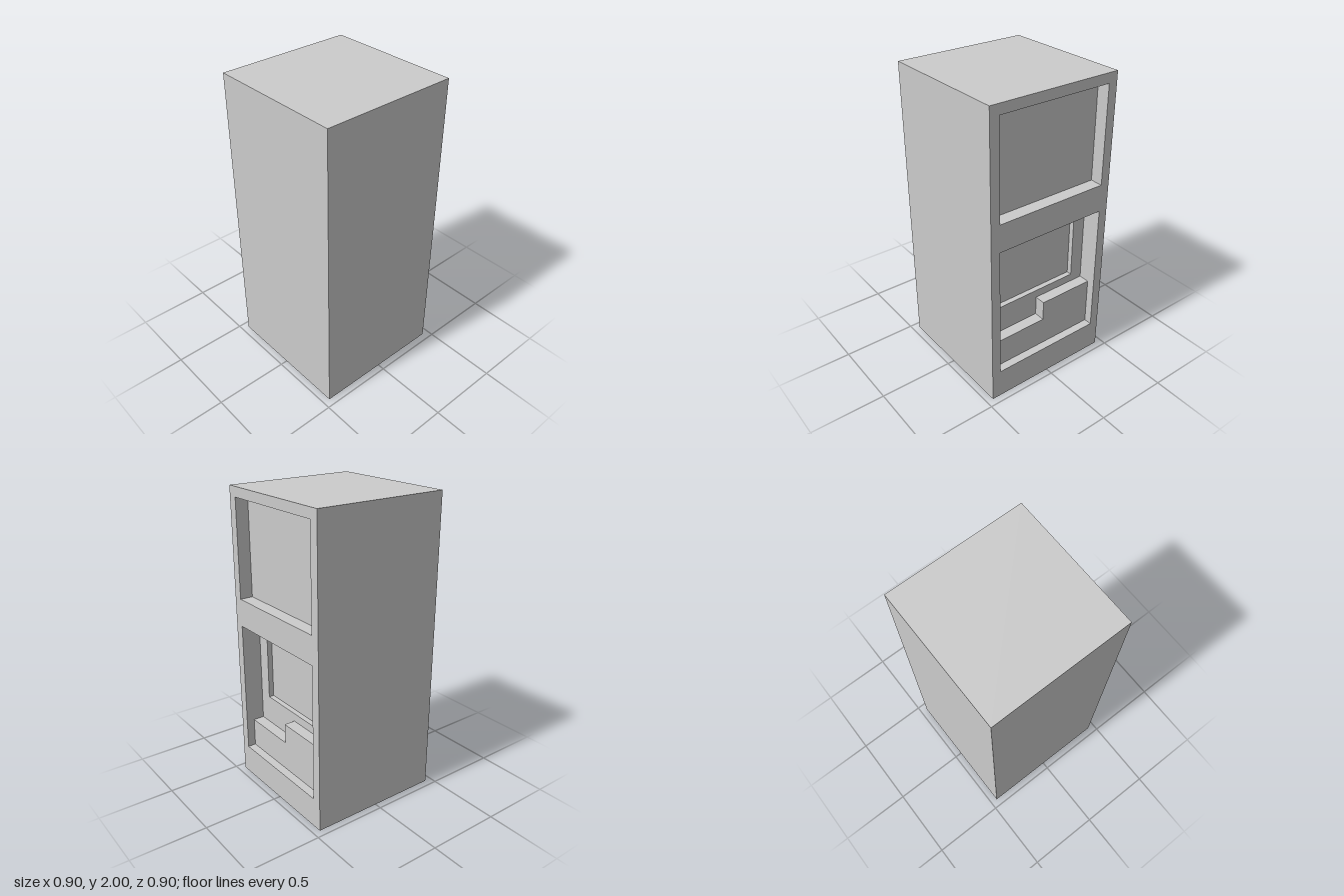
import * as THREE from 'three';

const material = new THREE.MeshStandardMaterial({ color: 0xcccccc, flatShading: true });
const HALF = 0.4525;

// Rectangles are [x0, y0, x1, y1]
const corners = ([x0, y0, x1, y1]) => [[x0, y0], [x1, y0], [x1, y1], [x0, y1]];
const toPoints = (list) => list.map(([x, y]) => new THREE.Vector2(x, y));

function add(group, name, geometry) {
  const mesh = new THREE.Mesh(geometry, material);
  mesh.name = name;
  group.add(mesh);
  return mesh;
}

// Flat panel facing +z, with optional rectangular openings
function panel(rect, z, openings = []) {
  const shape = new THREE.Shape(toPoints(corners(rect)));
  for (const o of openings) shape.holes.push(new THREE.Path(toPoints(corners(o).reverse())));
  return new THREE.ShapeGeometry(shape).translate(0, 0, z);
}

// Four walls swept along z: they face outward when z rises, inward when it falls
function walls(rect, zFrom, zTo) {
  const ring = corners(rect);
  const positions = [];
  ring.forEach(([ax, ay], i) => {
    const [bx, by] = ring[(i + 1) % 4];
    positions.push(ax, ay, zFrom, bx, by, zFrom, bx, by, zTo);
    positions.push(ax, ay, zFrom, bx, by, zTo, ax, ay, zTo);
  });
  const geometry = new THREE.BufferGeometry();
  geometry.setAttribute('position', new THREE.Float32BufferAttribute(positions, 3));
  geometry.computeVertexNormals();
  return geometry;
}

export function createModel() {
  const model = new THREE.Group();
  model.name = 'cabinet';

  const outline = [-HALF, 0, HALF, 2];
  const upper = [-0.39, 1.285, 0.39, 1.935];
  const lower = [-0.39, 0.2, 0.39, 1.1];
  const inner = [-0.3, 0.585, 0.3, 1.035];
  const zUpper = HALF - 0.087;
  const zLower = HALF - 0.13;
  const zInner = HALF - 0.165;

  // Outer casing
  add(model, 'casing', walls(outline, -HALF, HALF));
  add(model, 'plainPanel', panel(outline, -HALF)).geometry
    .translate(0, 0, HALF).rotateY(Math.PI).translate(0, 0, -HALF);
  add(model, 'openFrame', panel(outline, HALF, [upper, lower]));

  // Upper recess
  add(model, 'upperRecessWalls', walls(upper, HALF, zUpper));
  add(model, 'upperRecessPanel', panel(upper, zUpper));

  // Lower recess with a second, shallower recess inside it
  add(model, 'lowerRecessWalls', walls(lower, HALF, zLower));
  add(model, 'lowerRecessPanel', panel(lower, zLower, [inner]));
  add(model, 'innerRecessWalls', walls(inner, zLower, zInner));
  add(model, 'innerRecessPanel', panel(inner, zInner));

  // Stepped block standing on the floor of the lower recess
  const step = new THREE.Shape(toPoints([
    [-0.39, 0.2], [0.39, 0.2], [0.39, 0.53], [0, 0.53], [0, 0.395], [-0.39, 0.395],
  ]));
  add(model, 'steppedBlock', new THREE.ExtrudeGeometry(step, { depth: 0.075, bevelEnabled: false })
    .translate(0, 0, zLower));

  // The recesses belong on the back
  model.rotation.y = Math.PI;
  const root = new THREE.Group();
  root.add(model);
  return root;
}
